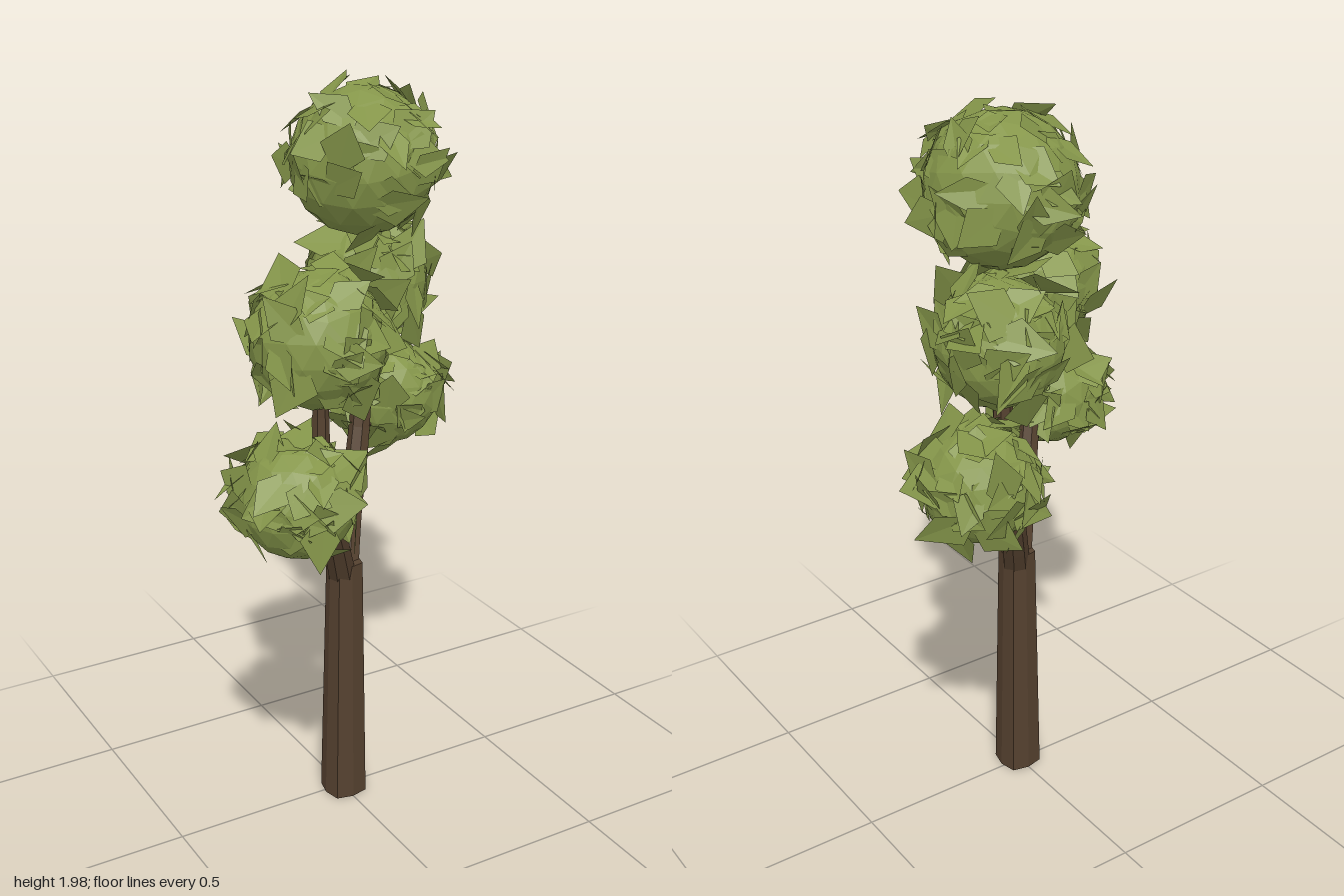
import * as THREE from 'three';
import { mergeGeometries } from 'three/addons/utils/BufferGeometryUtils.js';

const bark = new THREE.MeshStandardMaterial({ color: 0x55412f });
bark.name = 'bark brown';
const leafGreen = new THREE.MeshStandardMaterial({ color: 0x85964a, side: THREE.DoubleSide });
leafGreen.name = 'leaf green';

// Small seeded random generator
function makeRandom(seed) {
  let s = seed;
  return () => {
    s = (Math.imul(s, 1664525) + 1013904223) >>> 0;
    return s / 4294967296;
  };
}

// Separate faces so every facet gets its own normal
function faceted(geometry) {
  const g = geometry.index ? geometry.toNonIndexed() : geometry;
  g.deleteAttribute('uv');
  g.computeVertexNormals();
  return g;
}

// Eight-sided trunk with stronger diagonal corners, leaning slightly to +x
function makeTrunk() {
  const g = new THREE.CylinderGeometry(0.044, 0.057, 0.71, 8, 1);
  const pos = g.attributes.position;
  for (let i = 0; i < pos.count; i++) {
    const x = pos.getX(i), y = pos.getY(i), z = pos.getZ(i);
    const k = Math.abs(x * z) > 1e-5 ? 1.15 : 1;
    const lean = y > 0 ? 0.008 : 0;
    pos.setXYZ(i, x * k + lean, y, z * k - lean);
  }
  const mesh = new THREE.Mesh(faceted(g), bark);
  mesh.name = 'trunk';
  mesh.position.set(0, 0.355, 0.01);
  return mesh;
}

// Tapered limb swept along a smooth path
function limb(name, points, r0, r1, segments, sides = 7) {
  const path = new THREE.CatmullRomCurve3(points.map(p => new THREE.Vector3(...p)));
  const g = new THREE.TubeGeometry(path, segments, 1, sides, false);
  const pos = g.attributes.position;
  const v = new THREE.Vector3();
  for (let i = 0; i < pos.count; i++) {
    const t = Math.floor(i / (sides + 1)) / segments;
    const c = path.getPointAt(t);
    v.fromBufferAttribute(pos, i).sub(c).multiplyScalar(r0 + (r1 - r0) * t).add(c);
    pos.setXYZ(i, v.x, v.y, v.z);
  }
  const mesh = new THREE.Mesh(faceted(g), bark);
  mesh.name = name;
  return mesh;
}

// Folded kite-shaped leaves standing out of a ball of radius r
function leafGeometry(r, reach, count, random) {
  const corners = [];
  const n = new THREE.Vector3(), t = new THREE.Vector3(), s = new THREE.Vector3();
  for (let i = 0; i < count; i++) {
    // even spiral over the ball, thinner near the underside
    const y = 1 - 1.8 * (i + 0.5) / count;
    if (y < -0.5 && random() < 0.5) continue;
    const a = i * 2.39996 + random() * 0.5;
    const h = Math.sqrt(1 - y * y);
    n.set(Math.cos(a) * h, y, Math.sin(a) * h);
    t.set(random() - 0.5, random() - 0.5, random() - 0.5).cross(n).normalize();
    s.crossVectors(n, t);
    const length = 0.08 + random() * 0.06;
    const width = 0.04 + random() * 0.025;
    const rise = reach * (0.1 + 0.9 * random());
    const at = (along, across, radius) => n.clone().multiplyScalar(r)
      .addScaledVector(t, along).addScaledVector(s, across).setLength(radius);
    const base = at(-0.04, 0, r * 0.95);
    const left = at(0.35 * length, width, r + rise * 0.25);
    const right = at(0.35 * length, -width, r + rise * 0.4);
    const end = at(length, (random() - 0.5) * 0.05, r + rise);
    corners.push(base, right, end, base, end, left);
  }
  return faceted(new THREE.BufferGeometry().setFromPoints(corners));
}

// One clump: faceted core with leaves over it
function leafClump(name, [x, y, z], r, reach, seed) {
  const random = makeRandom(seed);
  const core = new THREE.IcosahedronGeometry(r, 2);
  core.rotateX(random() * 3);
  core.rotateY(random() * 3);
  const mesh = new THREE.Mesh(
    mergeGeometries([faceted(core), leafGeometry(r, reach, 75, random)]), leafGreen);
  mesh.name = name;
  mesh.position.set(x, y, z);
  return mesh;
}

export function createModel() {
  const tree = new THREE.Group();
  tree.name = 'tree';
  tree.add(makeTrunk());

  // Two main branches and the side branches to the other clumps
  tree.add(
    limb('rightBranch', [[0, 0.67, 0.005], [-0.055, 0.82, 0.06], [-0.112, 0.95, 0.118],
      [-0.143, 1.1, 0.146], [-0.146, 1.25, 0.15], [-0.155, 1.4, 0.16]], 0.038, 0.016, 12),
    limb('leftBranch', [[0.014, 0.67, -0.003], [0.062, 0.82, -0.06], [0.112, 0.98, -0.105],
      [0.14, 1.13, -0.13], [0.142, 1.3, -0.13], [0.115, 1.55, -0.1], [0.11, 1.75, -0.09]],
    0.038, 0.015, 14),
    limb('lowerRightBranch', [[-0.1, 0.92, 0.105], [-0.17, 0.98, 0.16], [-0.25, 1.04, 0.22]],
      0.02, 0.01, 4, 6),
    limb('lowerLeftBranch', [[0.115, 1.0, -0.11], [0.19, 1.05, -0.16], [0.26, 1.09, -0.21]],
      0.02, 0.01, 4, 6),
    limb('middleLeftBranch', [[0.14, 1.24, -0.13], [0.16, 1.33, -0.15], [0.185, 1.42, -0.18]],
      0.018, 0.01, 4, 6));

  // Leaf clumps: name, centre, core radius, leaf reach
  const clumps = [
    ['topClump', [0.115, 1.765, -0.09], 0.19, 0.06],
    ['middleRightClump', [-0.16, 1.405, 0.165], 0.17, 0.07],
    ['middleLeftClump', [0.188, 1.425, -0.183], 0.16, 0.085],
    ['lowerRightClump', [-0.255, 1.035, 0.23], 0.148, 0.065],
    ['lowerLeftClump', [0.267, 1.085, -0.215], 0.148, 0.08],
  ];
  clumps.forEach(([name, centre, r, reach], i) =>
    tree.add(leafClump(name, centre, r, reach, 17 + i * 7919)));

  return tree;
}
